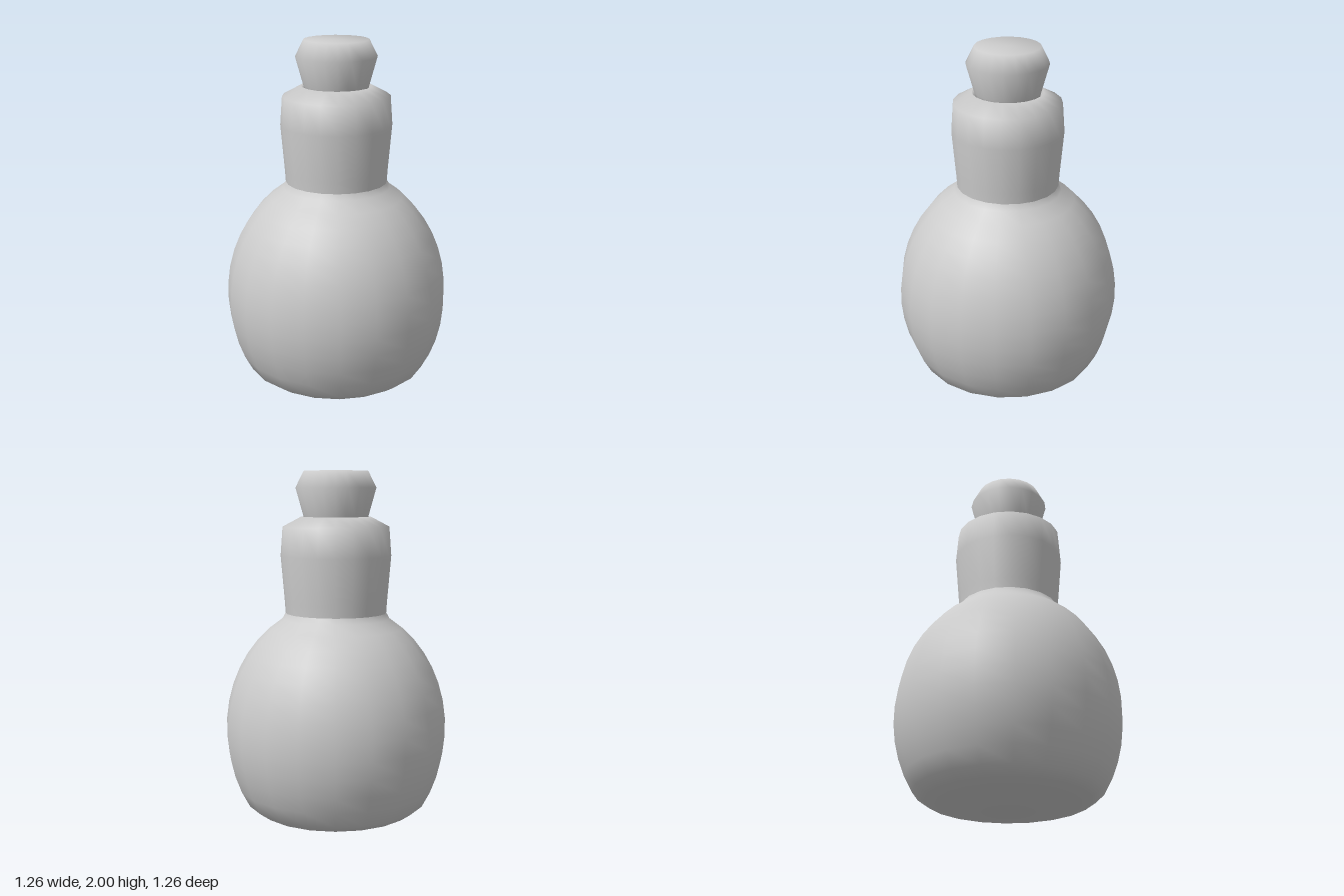
import * as THREE from 'three';

const SIDES = 20;

// Smooth turned part from [radius, height] pairs, listed bottom to top
function turned(name, profile) {
  const points = profile.map(([r, y]) => new THREE.Vector2(r, y));
  const mesh = new THREE.Mesh(
    new THREE.LatheGeometry(points, SIDES),
    new THREE.MeshStandardMaterial({ color: 0xcccccc, side: THREE.DoubleSide })
  );
  mesh.name = name;
  return mesh;
}

export function createModel() {
  const group = new THREE.Group();
  group.name = 'corkedBottle';

  // Shallow rounded base, then an elliptical belly up to the shoulder
  const belly = [[0, 0], [0.17, 0.01], [0.33, 0.034], [0.45, 0.065]];
  const start = -0.62, end = 1.07, steps = 12;
  for (let i = 0; i <= steps; i++) {
    const a = start + (end - start) * i / steps;
    belly.push([0.632 * Math.cos(a), 0.535 + 0.73 * Math.sin(a)]);
  }
  belly.push([0.285, 1.21]);
  group.add(turned('body', belly));

  // Slightly flared neck with a bevelled lip turning into the mouth
  group.add(turned('neck', [
    [0.285, 1.19], [0.29, 1.27], [0.312, 1.53], [0.3, 1.692],
    [0.195, 1.748], [0.18, 1.7]
  ]));

  // Stopper: tapers outward, then bevels in to a flat top
  group.add(turned('stopper', [
    [0, 1.7], [0.17, 1.7], [0.182, 1.75], [0.226, 1.908], [0.18, 2], [0, 2]
  ]));

  return group;
}
